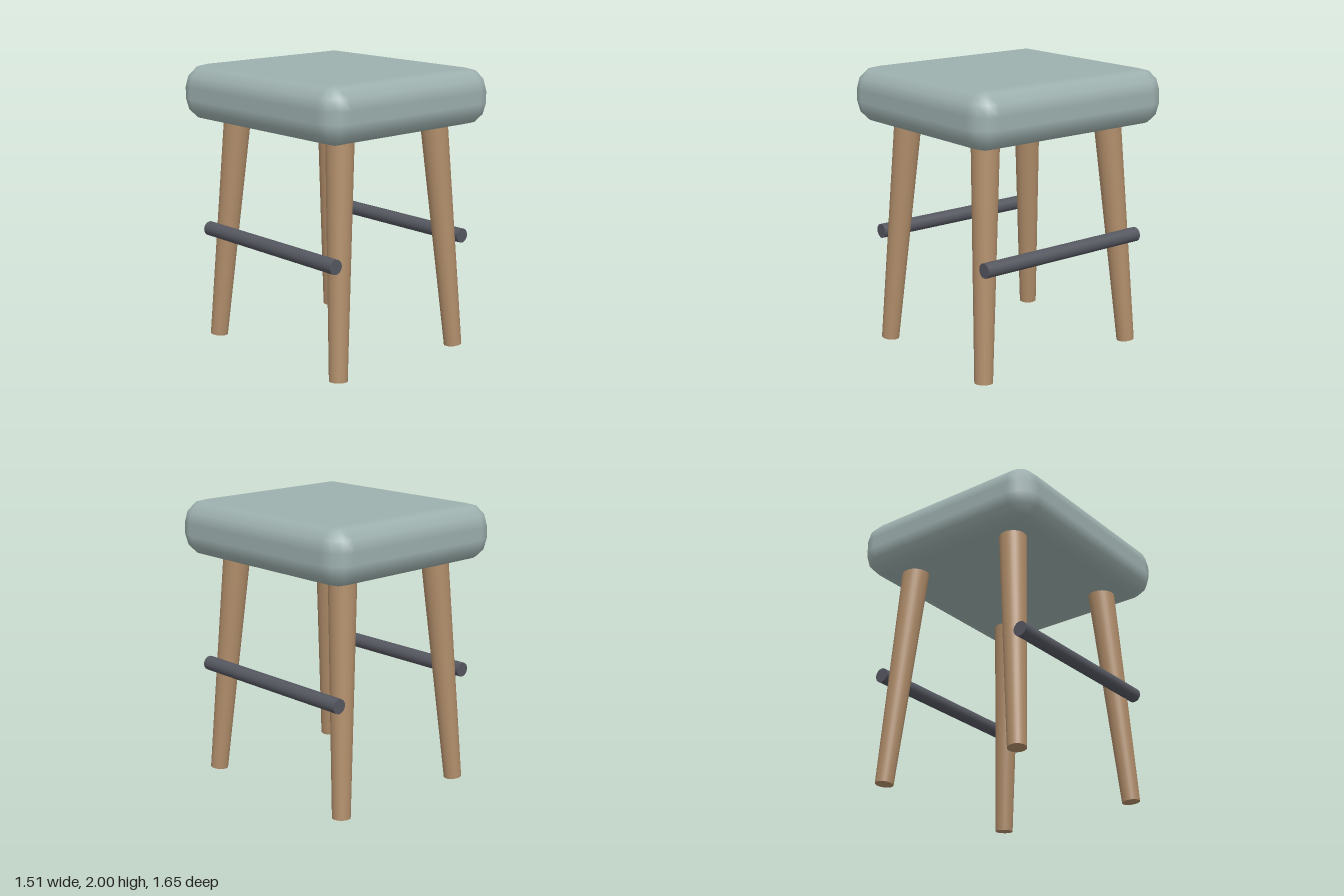
import * as THREE from 'three';

const fabric = new THREE.MeshStandardMaterial({ color: 0x9db0ae });
fabric.name = 'sage fabric';
const wood = new THREE.MeshStandardMaterial({ color: 0xb08d6a });
wood.name = 'warm wood';
const metal = new THREE.MeshStandardMaterial({ color: 0x555760 });
metal.name = 'dark metal';

// Box with every edge rounded in equal angular steps, built from stacked loops.
function cushionGeometry(width, height, depth, radius, steps) {
  const pos = [], nor = [], idx = [];
  const row = steps + 1, around = row * 4, levels = row * 2;
  const cx = width / 2 - radius, cy = height / 2 - radius, cz = depth / 2 - radius;
  for (let j = 0; j < levels; j++) {
    const top = j < row;
    const lat = Math.PI / 2 * (1 - (top ? j : j - 1) / steps);
    for (let i = 0; i < around; i++) {
      const corner = Math.floor(i / row);
      const a = Math.PI / 2 * (corner + (i % row) / steps);
      const n = [Math.cos(lat) * Math.cos(a), Math.sin(lat), Math.cos(lat) * Math.sin(a)];
      const sx = corner === 0 || corner === 3 ? 1 : -1;
      const sz = corner < 2 ? 1 : -1;
      pos.push(sx * cx + n[0] * radius, (top ? cy : -cy) + n[1] * radius, sz * cz + n[2] * radius);
      nor.push(...n);
    }
  }
  for (let j = 0; j < levels - 1; j++) {
    for (let i = 0; i < around; i++) {
      const k = (i + 1) % around;
      const a = j * around + i, b = j * around + k;
      idx.push(a, b, a + around, b, b + around, a + around);
    }
  }
  // flat top and underside
  const end = (levels - 1) * around;
  idx.push(0, row * 2, row, 0, row * 3, row * 2);
  idx.push(end, end + row, end + row * 2, end, end + row * 2, end + row * 3);
  const g = new THREE.BufferGeometry();
  g.setAttribute('position', new THREE.Float32BufferAttribute(pos, 3));
  g.setAttribute('normal', new THREE.Float32BufferAttribute(nor, 3));
  g.setIndex(idx);
  return g;
}

// Straight tapered round bar between two points.
function bar(name, from, to, rFrom, rTo, material) {
  const dir = to.clone().sub(from);
  const mesh = new THREE.Mesh(new THREE.CylinderGeometry(rTo, rFrom, dir.length(), 32), material);
  mesh.position.copy(from).add(to).multiplyScalar(0.5);
  mesh.quaternion.setFromUnitVectors(new THREE.Vector3(0, 1, 0), dir.normalize());
  mesh.name = name;
  return mesh;
}

export function createModel() {
  const stool = new THREE.Group();
  stool.name = 'stool';

  const seat = new THREE.Mesh(cushionGeometry(1.51, 0.395, 1.65, 0.157, 3), fabric);
  seat.name = 'seatCushion';
  seat.position.y = 1.8025;
  stool.add(seat);

  for (const sx of [1, -1]) {
    const side = sx > 0 ? 'Left' : 'Right';
    // splayed legs, narrower at the foot
    for (const sz of [1, -1]) {
      stool.add(bar((sz > 0 ? 'front' : 'back') + side + 'Leg',
        new THREE.Vector3(sx * 0.555, 0.006, sz * 0.655),
        new THREE.Vector3(sx * 0.438, 1.63, sz * 0.54), 0.063, 0.096, wood));
    }
    // footrest rail along each side
    stool.add(bar('footrest' + side,
      new THREE.Vector3(sx * 0.6, 0.807, -0.682),
      new THREE.Vector3(sx * 0.6, 0.807, 0.682), 0.051, 0.051, metal));
  }
  return stool;
}
